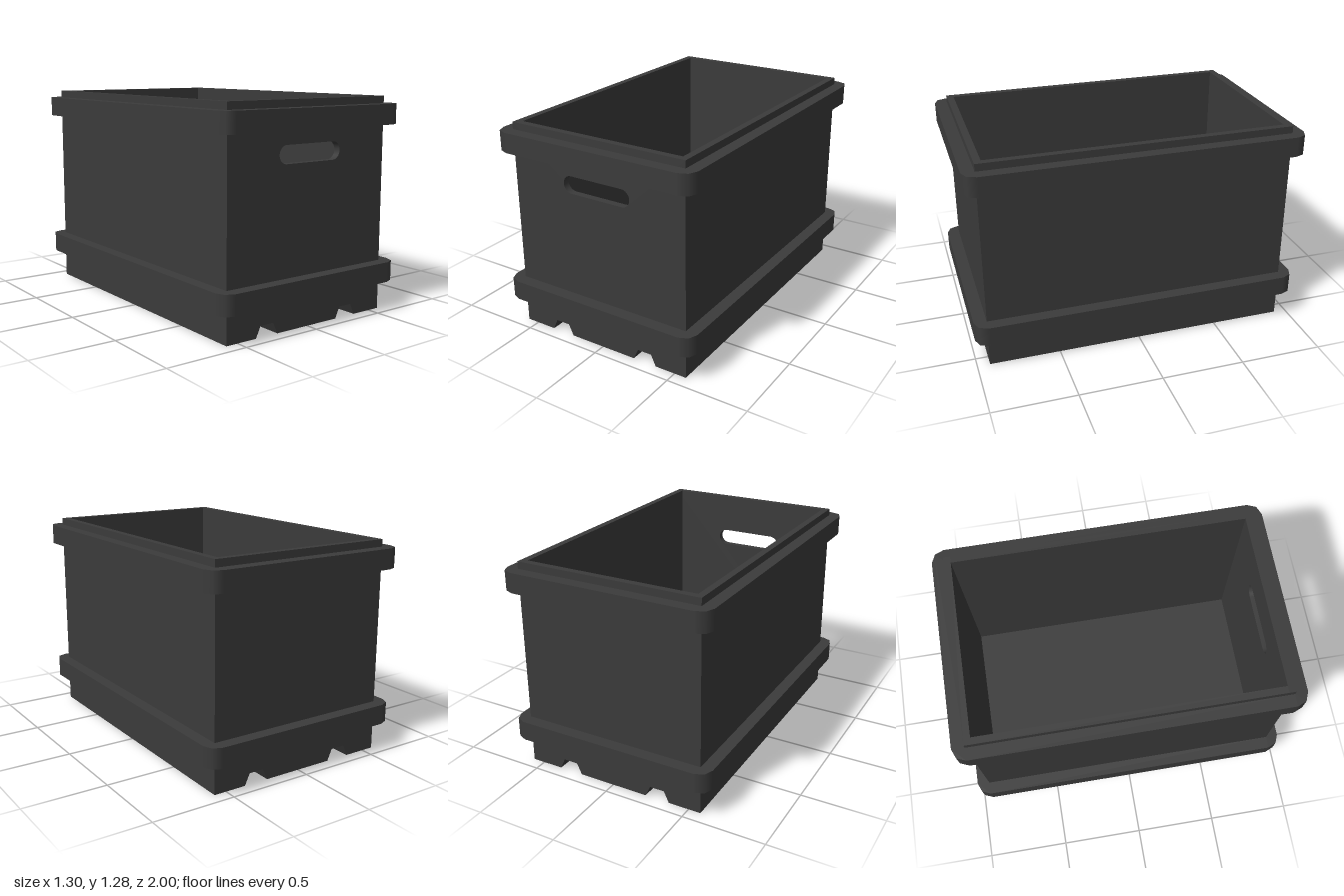
import * as THREE from 'three';
import { toCreasedNormals } from 'three/addons/utils/BufferGeometryUtils.js';

const W = 0.575, D = 0.925, H = 1.28; // half width, half depth, height of the box
const WALL = 0.041, FLOOR = 0.11;
const material = new THREE.MeshStandardMaterial({ color: 0x3b3b3b });

function addMesh(group, name, geometry) {
  const mesh = new THREE.Mesh(geometry, material);
  mesh.name = name;
  group.add(mesh);
  return mesh;
}

// Underside outline from left to right, with two tapered grooves
function underside() {
  const points = [[-W, 0]];
  for (const c of [-0.298, 0.298]) {
    points.push([c - 0.076, 0], [c - 0.045, 0.067], [c + 0.045, 0.067], [c + 0.076, 0]);
  }
  points.push([W, 0]);
  return points;
}

function toShape(points) {
  return new THREE.Shape(points.map(([x, y]) => new THREE.Vector2(x, y)));
}

function extrude(shape, z, depth) {
  const geometry = new THREE.ExtrudeGeometry(shape, { depth, bevelEnabled: false, curveSegments: 8 });
  geometry.translate(0, 0, z);
  return toCreasedNormals(geometry, 0.6);
}

// Full end panel, optionally with a rounded hand slot
function endPanel(z, withSlot) {
  const shape = toShape([...underside(), [W, H], [-W, H]]);
  if (withSlot) {
    const slot = new THREE.Path();
    slot.absarc(0.171, 0.985, 0.052, -Math.PI / 2, Math.PI / 2, false);
    slot.absarc(-0.171, 0.985, 0.052, Math.PI / 2, Math.PI * 1.5, false);
    slot.closePath();
    shape.holes.push(slot);
  }
  return extrude(shape, z, WALL);
}

// Raised band around the box with softly shaded corners
function bandGeometry(height) {
  const x = 0.648, z = 1, r = 0.077;
  const cx = x - r, cz = z - r;
  const shape = new THREE.Shape();
  [[1, 1], [-1, 1], [-1, -1], [1, -1]].forEach(([sx, sz], i) => {
    shape.absarc(sx * cx, sz * cz, r, i * Math.PI / 2, (i + 1) * Math.PI / 2, false);
  });
  shape.closePath();
  shape.holes.push(new THREE.Path([[-W, -D], [-W, D], [W, D], [W, -D]]
    .map(([a, b]) => new THREE.Vector2(a, b))));
  const geometry = new THREE.ExtrudeGeometry(shape, { depth: height, bevelEnabled: false, curveSegments: 1 });
  geometry.rotateX(-Math.PI / 2);

  // Outer side normals point away from the corner centres
  const p = geometry.attributes.position, n = geometry.attributes.normal;
  const v = new THREE.Vector3();
  for (let i = 0; i < p.count; i++) {
    const outer = Math.abs(p.getX(i)) > W + 0.01 || Math.abs(p.getZ(i)) > D + 0.01;
    if (!outer || Math.abs(n.getY(i)) > 0.5) continue;
    v.set(
      p.getX(i) - THREE.MathUtils.clamp(p.getX(i), -cx, cx), 0,
      p.getZ(i) - THREE.MathUtils.clamp(p.getZ(i), -cz, cz)
    ).normalize();
    n.setXYZ(i, v.x, v.y, v.z);
  }
  return geometry;
}

export function createModel() {
  const crate = new THREE.Group();
  crate.name = 'crate';

  // Side walls and grooved floor as one U-shaped section
  const inner = W - WALL;
  const section = toShape([
    ...underside(), [W, H], [inner, H], [inner, FLOOR], [-inner, FLOOR], [-inner, H], [-W, H],
  ]);
  addMesh(crate, 'sidesAndFloor', extrude(section, -D + WALL, 2 * (D - WALL)));

  // End panels; only the front one has a hand slot
  addMesh(crate, 'frontPanel', endPanel(D - WALL, true));
  addMesh(crate, 'backPanel', endPanel(-D, false));

  // Reinforcing bands
  const band = bandGeometry(0.12);
  addMesh(crate, 'lowerBand', band).position.y = 0.18;
  addMesh(crate, 'upperBand', band).position.y = 1.117;

  return crate;
}
